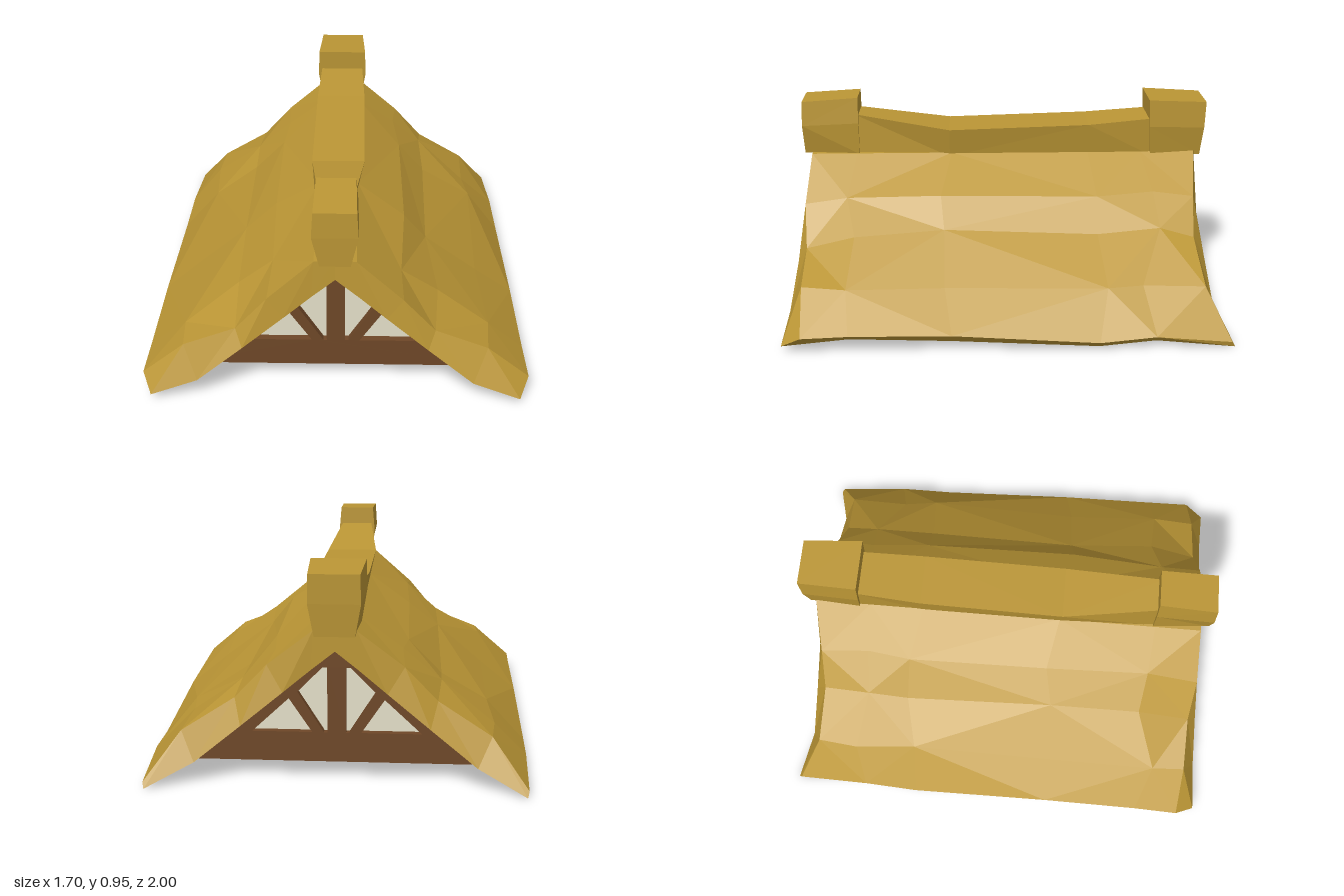
import * as THREE from 'three';

const thatch = new THREE.MeshStandardMaterial({ color: 0xbb9635 });
thatch.name = 'thatch';
thatch.flatShading = true;
const timber = new THREE.MeshStandardMaterial({ color: 0x6e4727 });
timber.name = 'timber';
const plaster = new THREE.MeshStandardMaterial({ color: 0xe4dfc8 });
plaster.name = 'palePanel';

function seeded(seed) {
  return () => {
    seed = (seed * 16807) % 2147483647;
    return seed / 2147483647;
  };
}

// Skin between equal rings, closed at both ends by the given index quads
function loft(rings, capQuads) {
  const n = rings[0].length;
  const pos = rings.flat(2);
  const index = [];
  for (let k = 0; k < rings.length - 1; k++) {
    for (let j = 0; j < n; j++) {
      const a = k * n + j, b = k * n + (j + 1) % n;
      const c = b + n, d = a + n;
      if ((j + k) % 2) index.push(a, b, c, a, c, d);
      else index.push(a, b, d, b, c, d);
    }
  }
  const last = (rings.length - 1) * n;
  for (const [a, b, c, d] of capQuads) {
    index.push(a, b, c, a, c, d);
    index.push(last + a, last + c, last + b, last + a, last + d, last + c);
  }
  const geo = new THREE.BufferGeometry();
  geo.setAttribute('position', new THREE.Float32BufferAttribute(pos, 3));
  geo.setIndex(index);
  const flat = geo.toNonIndexed();
  flat.computeVertexNormals();
  return flat;
}

function add(parent, name, geo, mat) {
  const mesh = new THREE.Mesh(geo, mat);
  mesh.name = name;
  parent.add(mesh);
  return mesh;
}

// Thick, sagging thatch with uneven facets
function roofGeometry() {
  const rand = seeded(41);
  const outer = [[0, 0.69], [0.09, 0.68], [0.29, 0.53], [0.43, 0.4], [0.66, 0.23]];
  const under = [[0, 0.59], [0.1, 0.51], [0.22, 0.41], [0.4, 0.262], [0.6, 0.1]];
  const frontOuter = [0.91, 0.915, 0.93, 0.915, 0.915, 0.905];
  const frontUnder = [0.915, 0.925, 0.94, 0.96, 0.98, 0.995];
  const backOuter = [-0.91, -0.91, -0.88, -0.865, -0.885, -0.985];
  const backUnder = [-0.91, -0.91, -0.915, -0.925, -0.938, -1];
  // z, eave x, eave y, lip y, height offsets of the slope points
  const stations = [
    [0.91, 0.848, 0.085, 0.03, [-0.03, -0.065, 0.015]],
    [0.7, 0.842, 0.09, 0.06, [0, 0, 0.015]],
    [0.25, 0.838, 0.085, 0.045, [0.005, 0.01, 0]],
    [-0.4, 0.835, 0.04, 0.01, [0, -0.02, 0]],
    [-0.65, 0.825, 0.06, 0.035, [0.005, 0.005, -0.005]],
    [-0.88, 0.812, 0.025, 0, [-0.01, -0.03, -0.005]],
  ];
  const rings = stations.map(([z, ex, ey, ly, dy], k) => {
    const end = k === 0 || k === stations.length - 1;
    const zs = k === 0 ? [frontOuter, frontUnder] : [backOuter, backUnder];
    const half = (s) => {
      const top = [...outer, [ex, ey]].map(([x, y], i) => {
        const slope = i > 1 && i < 5;
        const r = slope && !end ? 1 : 0;
        return [
          s * (x + r * (rand() - 0.5) * 0.04),
          y + (slope ? dy[i - 2] : 0) + r * (rand() - 0.5) * 0.02,
          end ? zs[0][i] : z + r * (rand() - 0.5) * 0.14,
        ];
      });
      // the underside hangs a little lower between the ends
      const low = [...under, [0.805, ly]].map(([x, y], i) => {
        const sag = !end && i > 1 && i < 5 ? dy[i - 2] - 0.018 : 0;
        return [s * x, y + sag, end ? zs[1][i] : z];
      });
      return [...top, ...low.reverse()];
    };
    return [...half(1), ...half(-1).slice(1, 11).reverse()];
  });
  const caps = [];
  for (let i = 0; i < 5; i++) {
    caps.push([i, 11 - i, 10 - i, i + 1], [(22 - i) % 22, 21 - i, 12 + i, 11 + i]);
  }
  return loft(rings, caps);
}

// Ridge roll: z, half width and height of top, half width of base
function ridgeGeometry() {
  const rows = [
    [0.71, 0.075, 0.87, 0.075],
    [0.26, 0.12, 0.8, 0.09],
    [-0.4, 0.118, 0.82, 0.09],
    [-0.7, 0.105, 0.845, 0.09],
  ];
  return loft(rows.map(([z, w, y, b]) => [[-w, y, z], [w, y, z], [b, 0.66, z], [-b, 0.66, z]]), [[0, 3, 2, 1]]);
}

// Ridge end bundle, rows of: height at -z and +z side, half widths, z range
function bundleGeometry(rows) {
  return loft(rows.map(([y0, y1, w0, w1, z0, z1]) =>
    [[-w0, y0, z0], [w0, y0, z0], [w1, y1, z1], [-w1, y1, z1]]), [[0, 3, 2, 1]]);
}

// Timber gable with four recessed panels, facing +z
function makeGable(name) {
  const gable = new THREE.Group();
  gable.name = name;
  const toPath = (C, pts) => new C(pts.map(([x, y]) => new THREE.Vector2(x, y)));
  const triangle = [[-0.67, 0.073], [0.67, 0.073], [0, 0.62]];
  const openings = [
    [[0.105, 0.205], [0.365, 0.205], [0.205, 0.355]],
    [[0.04, 0.205], [0.055, 0.205], [0.168, 0.385], [0.06, 0.495], [0.04, 0.495]],
  ];
  const frame = toPath(THREE.Shape, triangle);
  for (const s of [1, -1]) {
    for (const o of openings) frame.holes.push(toPath(THREE.Path, o.map(([x, y]) => [s * x, y])));
  }
  const extrude = (shape, depth) => new THREE.ExtrudeGeometry(shape, { depth, bevelEnabled: false });
  add(gable, 'gableFrame', extrude(frame, 0.04), timber).position.z = 0.78;
  add(gable, 'gableBacking', extrude(toPath(THREE.Shape, triangle), 0.09), timber).position.z = 0.69;
  for (const s of [1, -1]) {
    for (const o of openings) {
      const pane = toPath(THREE.Shape, o.map(([x, y]) => [s * x, y]));
      add(gable, 'gablePanel', extrude(pane, 0.008), plaster).position.z = 0.78;
    }
  }
  return gable;
}

export function createModel() {
  const model = new THREE.Group();
  model.name = 'thatchedRoof';
  add(model, 'thatch', roofGeometry(), thatch);
  add(model, 'ridgeRoll', ridgeGeometry(), thatch);
  add(model, 'frontRidgeBundle', bundleGeometry([
    [0.952, 0.935, 0.085, 0.09, 0.69, 0.952],
    [0.83, 0.82, 0.095, 0.097, 0.69, 0.955],
    [0.675, 0.68, 0.085, 0.065, 0.69, 0.95],
  ]), thatch);
  add(model, 'backRidgeBundle', bundleGeometry([
    [0.925, 0.938, 0.107, 0.12, -0.957, -0.685],
    [0.8, 0.81, 0.11, 0.123, -0.952, -0.69],
    [0.66, 0.67, 0.085, 0.1, -0.94, -0.7],
  ]), thatch);
  const back = makeGable('backGable');
  back.rotation.y = Math.PI;
  model.add(makeGable('frontGable'), back);
  return model;
}
